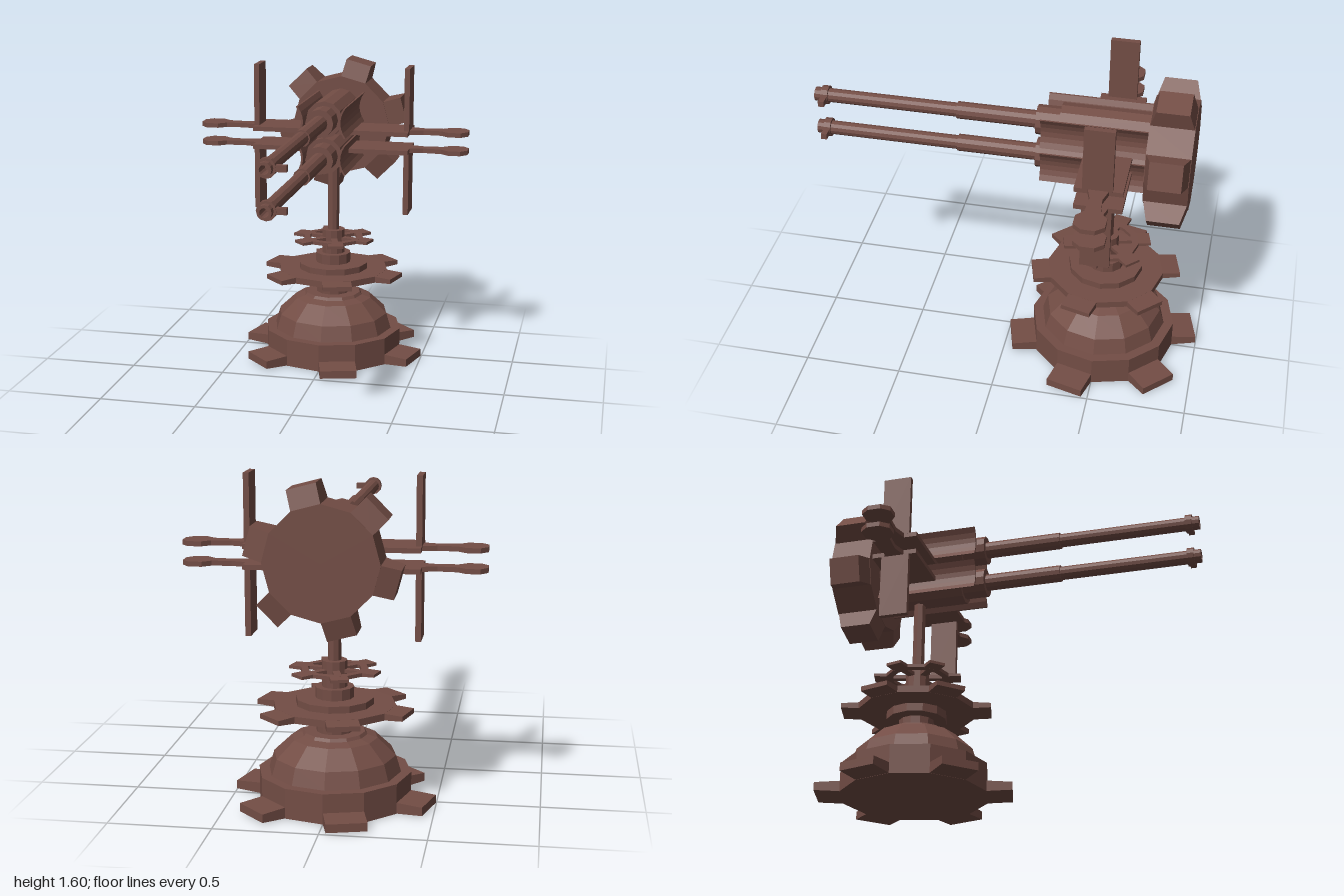
import * as THREE from 'three';

const mat = new THREE.MeshStandardMaterial({ color: 0x734d45, flatShading: true, side: THREE.DoubleSide });
const rad = THREE.MathUtils.degToRad;

function add(parent, name, geo, x = 0, y = 0, z = 0) {
  const m = new THREE.Mesh(geo, mat);
  m.name = name;
  m.position.set(x, y, z);
  parent.add(m);
  return m;
}

// Six tabs growing from every other side of a 12-sided disc, thinner at the outer end
function addTabs(parent, R, reach, h, y, startDeg, thin) {
  const inner = R * Math.cos(rad(15)) - 0.01;
  const geo = new THREE.BoxGeometry(reach - inner, h, 2 * R * Math.sin(rad(15)));
  const p = geo.attributes.position;
  for (let i = 0; i < p.count; i++) if (p.getX(i) > 0) p.setY(i, p.getY(i) * thin);
  geo.translate((reach + inner) / 2, 0, 0);
  for (let i = 0; i < 6; i++) add(parent, 'tab', geo, 0, y, 0).rotation.y = rad(startDeg + 60 * i);
}

function lathe(pts, n) {
  return new THREE.LatheGeometry(pts.map(([x, y]) => new THREE.Vector2(x, y)), n);
}

function createStand() {
  const g = new THREE.Group();
  g.name = 'stand';
  g.position.z = -0.5;
  // Domed foot with tabs round its rim
  add(g, 'domedFoot', lathe([[0, 0.005], [0.375, 0.005], [0.375, 0.153], [0.325, 0.153], [0.3, 0.235],
    [0.21, 0.32], [0.16, 0.335], [0.15, 0.35], [0, 0.35]], 12));
  addTabs(g, 0.375, 0.49, 0.055, 0.033, 45, 0.75);
  // Stepped column
  add(g, 'column', lathe([[0.09, 0.34], [0.09, 0.41], [0.155, 0.41], [0.155, 0.456], [0.19, 0.456], [0.19, 0.52],
    [0.095, 0.52], [0.095, 0.573], [0.062, 0.573], [0.062, 0.703], [0, 0.703]], 12));
  add(g, 'toothedPlate', new THREE.CylinderGeometry(0.3, 0.3, 0.034, 12), 0, 0.47, 0);
  addTabs(g, 0.3, 0.38, 0.034, 0.47, 45, 0.7);
  // Open wheel with six spokes and small tabs
  const rim = new THREE.Shape(), hole = new THREE.Path();
  for (let i = 0; i < 12; i++) {
    const c = Math.cos(rad(30 * i)), s = Math.sin(rad(30 * i));
    rim[i ? 'lineTo' : 'moveTo'](0.165 * c, 0.165 * s);
    hole[i ? 'lineTo' : 'moveTo'](0.13 * c, 0.13 * s);
  }
  rim.holes.push(hole);
  const rimGeo = new THREE.ExtrudeGeometry(rim, { depth: 0.018, bevelEnabled: false });
  rimGeo.translate(0, 0, -0.009).rotateX(-Math.PI / 2);
  add(g, 'wheelRim', rimGeo, 0, 0.653, 0);
  addTabs(g, 0.165, 0.222, 0.018, 0.653, 45, 0.8);
  const spoke = new THREE.BoxGeometry(0.12, 0.018, 0.035).translate(0.09, 0, 0);
  for (let i = 0; i < 6; i++) add(g, 'wheelSpoke', spoke, 0, 0.653, 0).rotation.y = rad(45 + 60 * i);
  add(g, 'post', new THREE.CylinderGeometry(0.032, 0.032, 0.48, 8), 0, 0.92, 0);
  return g;
}

function createGun(y) {
  const g = new THREE.Group();
  g.name = 'gun';
  g.position.y = y;
  // Stepped barrel with a bored muzzle
  const barrel = lathe([[0, 0.9], [0.022, 0.9], [0.022, 1], [0.035, 1], [0.035, 0.965], [0.047, 0.965], [0.047, 0.93],
    [0.035, 0.93], [0.035, 0.27], [0.043, 0.27], [0.043, -0.13], [0.074, -0.13], [0.074, -0.25],
    [0.097, -0.25], [0.097, -0.7], [0, -0.7]].reverse(), 12);
  add(g, 'barrel', barrel.rotateX(Math.PI / 2));
  add(g, 'muzzleNub', new THREE.BoxGeometry(0.06, 0.03, 0.03), 0.063, 0, 0.947);
  // Curved guard on each side
  for (const s of [-1, 1]) {
    const sh = new THREE.Shape();
    sh.moveTo(s * 0.131, 0.079);
    sh.quadraticCurveTo(s * 0.076, 0, s * 0.131, -0.079);
    sh.lineTo(s * 0.121, -0.079);
    sh.quadraticCurveTo(s * 0.064, 0, s * 0.121, 0.079);
    const geo = new THREE.ExtrudeGeometry(sh, { depth: 0.53, bevelEnabled: false, curveSegments: 6 });
    add(g, 'sideGuard', geo, 0, 0, -0.695);
  }
  return g;
}

// Flat crosspiece: broad middle, tapering arms, octagonal end knobs
function createWing(y) {
  const quarter = [[0.42, 0.117], [0.42, 0.05], [0.49, 0.03], [0.587, 0.038], [0.627, 0.074], [0.692, 0.074], [0.727, 0.033]];
  const right = [...quarter, ...quarter.map(([x, z]) => [x, -z]).reverse()];
  const pts = [...right, ...right.map(([x, z]) => [-x, -z])].map(([x, z]) => new THREE.Vector2(x, z));
  const geo = new THREE.ExtrudeGeometry(new THREE.Shape(pts), { depth: 0.024, bevelEnabled: false });
  geo.translate(0, 0, -0.012).rotateX(-Math.PI / 2);
  const m = new THREE.Mesh(geo, mat);
  m.name = 'crosspiece';
  m.position.set(0, y, -0.5);
  return m;
}

export function createModel() {
  const model = new THREE.Group();
  model.name = 'twinGunTurret';
  model.add(createStand(), createGun(1.35), createGun(1.157), createWing(1.262), createWing(1.164));

  // Upright paddles above and below the crosspieces
  for (const x of [-0.407, 0.407]) {
    add(model, 'upperPaddle', new THREE.BoxGeometry(0.028, 0.335, 0.145), x, 1.436, -0.495);
    add(model, 'lowerPaddle', new THREE.BoxGeometry(0.028, 0.335, 0.145), x, 0.988, -0.495);
  }

  // Toothed drum behind the guns
  const drum = new THREE.Group();
  drum.name = 'rearDrum';
  drum.position.set(0, 1.243, -0.798);
  drum.rotation.x = Math.PI / 2;
  add(drum, 'drumBody', new THREE.CylinderGeometry(0.27, 0.27, 0.215, 12));
  addTabs(drum, 0.27, 0.355, 0.215, 0, 15, 0.74);
  model.add(drum);
  return model;
}
